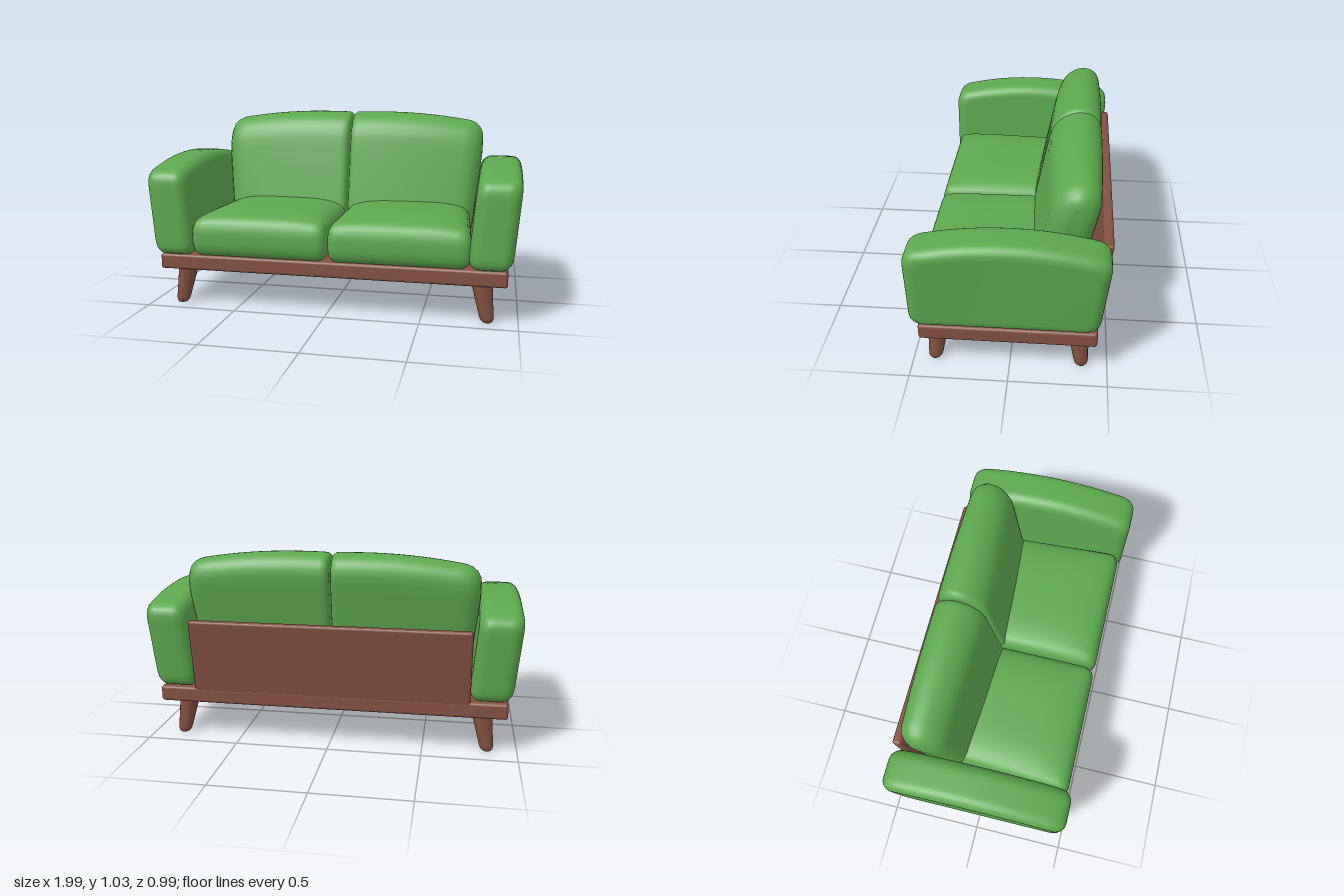
import * as THREE from 'three';
import { mergeVertices } from 'three/addons/utils/BufferGeometryUtils.js';
import { RoundedBoxGeometry } from 'three/addons/geometries/RoundedBoxGeometry.js';

const fabric = new THREE.MeshStandardMaterial({ color: 0x5ca84e });
fabric.name = 'green fabric';
const wood = new THREE.MeshStandardMaterial({ color: 0x825040 });
wood.name = 'brown wood';

// Moves every vertex of a geometry by a rule
function bend(geo, rule) {
  const pos = geo.attributes.position;
  const p = new THREE.Vector3();
  for (let i = 0; i < pos.count; i++) {
    p.fromBufferAttribute(pos, i);
    rule(p);
    pos.setXYZ(i, p.x, p.y, p.z);
  }
  geo.computeVertexNormals();
  return geo;
}

// Pillow: rounded in the side profile (ry, rz), with separate fillets at its
// inner and outer x ends. side = +1 / -1 mirrors the rule across x = 0.
function pillow(side, { w, h, d, ry, rz, inner, outer }, rule) {
  const n = 20;
  const geo = new THREE.BoxGeometry(2, 2, 2, n, n, n);
  geo.deleteAttribute('uv');
  geo.deleteAttribute('normal');
  const ease = (t) => Math.sin((t * Math.PI) / 2);
  return bend(mergeVertices(geo, 1e-5), (p) => {
    p.set(ease(p.x * side) * w / 2, ease(p.y) * h / 2, ease(p.z) * d / 2);
    // round the profile corners
    const iy = THREE.MathUtils.clamp(p.y, -h / 2 + ry, h / 2 - ry);
    const iz = THREE.MathUtils.clamp(p.z, -d / 2 + rz, d / 2 - rz);
    const a = (p.y - iy) / ry, b = (p.z - iz) / rz;
    const len = Math.hypot(a, b);
    if (len > 0) {
      const k = Math.max(Math.abs(a), Math.abs(b)) / len;
      p.y = iy + a * k * ry;
      p.z = iz + b * k * rz;
    }
    // fillet the ends
    const r = p.x > 0 ? outer : inner;
    const t = Math.min(1, Math.max(0, (w / 2 - Math.abs(p.x)) / r));
    const inset = r * (1 - Math.sqrt(1 - (1 - t) ** 2));
    p.y *= 1 - inset / (h / 2);
    p.z *= 1 - Math.min(0.9, inset / (d / 2));
    rule(p);
    p.x *= side;
  });
}

export function createModel() {
  const model = new THREE.Group();
  model.name = 'sofa';
  const add = (name, geo, mat) => {
    const mesh = new THREE.Mesh(geo, mat);
    mesh.name = name;
    model.add(mesh);
  };

  // Wooden base and leaning back panel
  const base = new RoundedBoxGeometry(1.88, 0.085, 0.89, 3, 0.015);
  base.translate(0, 0.2425, 0.005);
  add('base', base, wood);

  const panel = new RoundedBoxGeometry(1.49, 0.42, 0.05, 3, 0.015);
  add('backPanel', bend(panel, (p) => {
    p.z += -0.445 - 0.16 * p.y;
    p.y += 0.465;
  }), wood);

  for (const side of [1, -1]) {
    const tag = side > 0 ? 'left' : 'right';

    // Splayed tapered legs
    for (const front of [true, false]) {
      const profile = [[0, 0], [0.024, 0], [0.034, 0.012], [0.038, 0.03], [0.056, 0.21]]
        .map(([x, y]) => new THREE.Vector2(x, y));
      const leg = bend(new THREE.LatheGeometry(profile, 14), (p) => {
        const k = p.y / 0.2;
        p.x += side * (0.843 - 0.033 * k);
        p.z += front ? 0.39 - 0.02 * k : -0.367 + 0.022 * k;
      });
      add(`${tag}${front ? 'Front' : 'Back'}Leg`, leg, wood);
    }

    // Armrest: arched top, leaning outward, slanted back edge
    add(`${tag}Armrest`, pillow(side,
      { w: 0.225, h: 0.525, d: 0.985, ry: 0.07, rz: 0.06, inner: 0.06, outer: 0.06 },
      (p) => {
        const v = p.y / 0.525 + 0.5;
        const u = p.z / 0.4925;
        if (u < 0) p.z -= 0.045 * (1 - v) * u;
        p.y = 0.285 + v * (0.525 - 0.07 * u * u);
        p.x += 0.848 + 0.04 * v;
      }), fabric);

    // Seat cushion: domed top, narrower toward the back
    add(`${tag}SeatCushion`, pillow(side,
      { w: 0.75, h: 0.2, d: 0.77, ry: 0.085, rz: 0.05, inner: 0.045, outer: 0.05 },
      (p) => {
        const v = p.y / 0.2 + 0.5;
        const u = p.x / 0.375, s = p.z / 0.385;
        p.y = 0.285 + 0.2 * v + 0.048 * v * (1 - u ** 4) * (1 - s ** 4);
        p.x += 0.38;
        p.x *= 1 - 0.03 * (1 - s);
        p.z += 0.09;
      }), fabric);

    // Back cushion: leaning, arched toward the outer corner, fuller in the middle
    add(`${tag}BackCushion`, pillow(side,
      { w: 0.77, h: 0.735, d: 0.23, ry: 0.14, rz: 0.113, inner: 0.025, outer: 0.08 },
      (p) => {
        const v = p.y / 0.735 + 0.5;
        const X = p.x + 0.39;
        const s = p.z / 0.115;
        const arch = (X - 0.18) / 0.6;
        const drop = 0.06 * v * arch * arch * (X > 0.18 ? 1 : 0.6);
        p.y = 0.3 + 0.735 * v - drop;
        p.z += 0.025 * (s + 1) * (1 - (X / 0.77) ** 2);
        p.z += -0.3 - 0.2 * (p.y - 0.8);
        p.x = X * (1 - 0.09 * Math.max(0, 0.75 - v));
      }), fabric);
  }
  return model;
}
